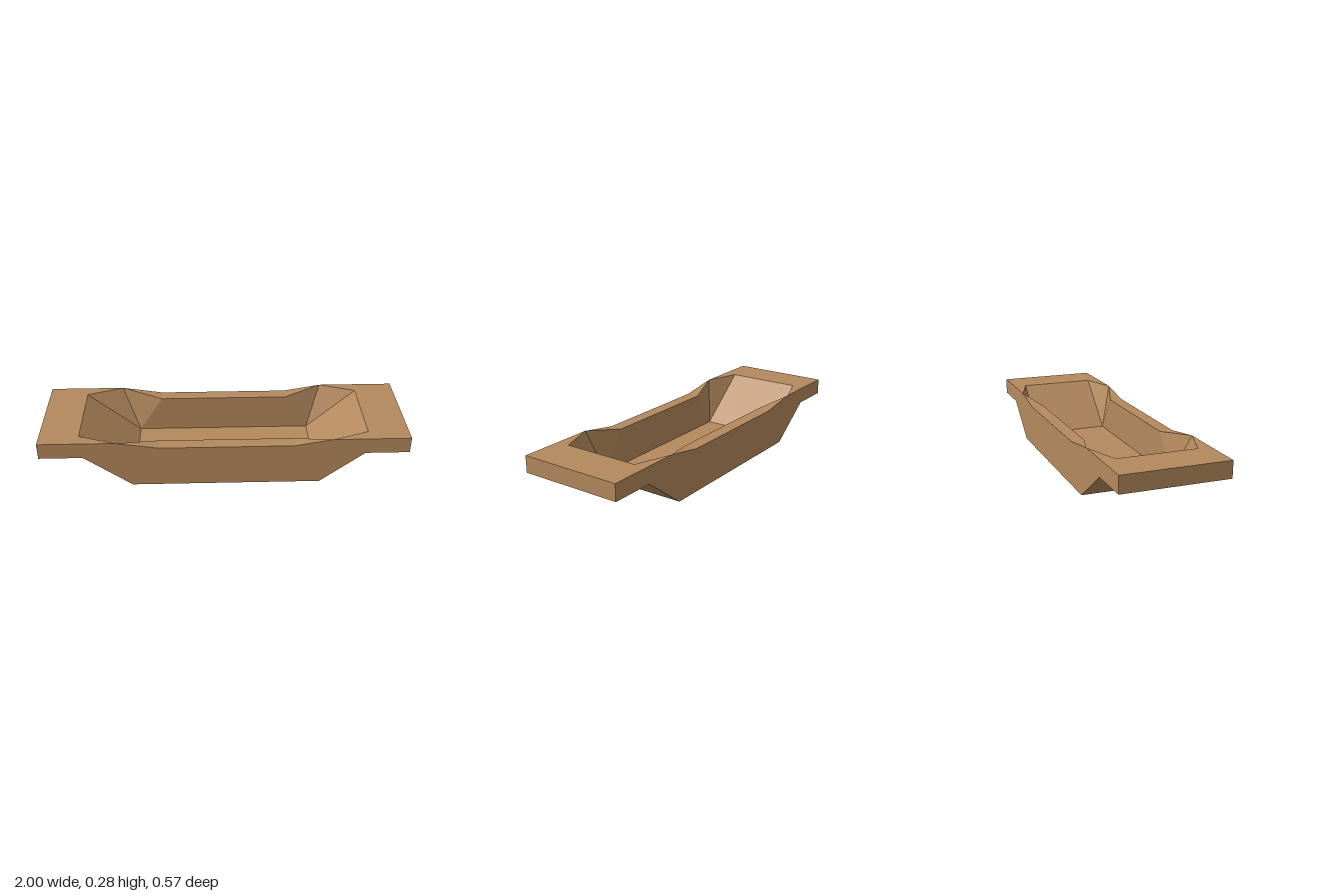
import * as THREE from 'three';

// Heights: deck top, lowered rim, overhang underside, basin floor
const T = 0.276, R = 0.24, S = 0.185, F = 0.032;
// Half depths: outer wall, basin opening
const W = 0.287, V = 0.215;

// x distances for each end: rim dip, rim peak, basin corner, basin floor, keel, overhang
const ends = [
  { side: 1, r: 0.37, p: 0.578, c: 0.778, f: 0.505, k: 0.52, s: 0.76 },
  { side: -1, r: 0.355, p: 0.585, c: 0.785, f: 0.49, k: 0.507, s: 0.763 },
];

// Faces of one quarter (+x, +z), as corner loops fanned from the first corner
const parts = {
  hull({ r, p, k, s }) {
    const faces = [
      [[0, 0, W], [k, 0, W], [s, S, W], [p, T, W], [r, R, W], [0, R, W]],
      [[s, S, W], [1, S, W], [1, T, W], [p, T, W]],
    ];
    // Underside and end, swept across the depth
    const line = [[0, 0], [k, 0], [s, S], [1, S], [1, T]];
    for (let i = 0; i < line.length - 1; i++) {
      const a = line[i], b = line[i + 1];
      faces.push([[...a, 0], [...b, 0], [...b, W], [...a, W]]);
    }
    return faces;
  },
  deckAndRim: ({ r, p, c }) => [
    [[c, T, V], [p, T, W], [1, T, W], [1, T, 0], [c, T, 0]],
    [[r, R, V], [r, R, W], [p, T, W]],
    [[0, R, V], [0, R, W], [r, R, W], [r, R, V]],
  ],
  basin: ({ r, p, c, f }) => [
    [[0, F, 0], [0, F, V], [f, F, V], [f, F, 0]], // floor
    [[f, F, 0], [f, F, V], [c, T, V], [c, T, 0]], // end ramp
    [[f, F, V], [p, T, W], [c, T, V]],            // flared corner
    [[f, F, V], [r, R, V], [p, T, W]],
    [[0, F, V], [0, R, V], [r, R, V], [f, F, V]], // long wall
  ],
};

// Mirrors the quarter to all four corners, flipping the corner order as needed
function buildPart(quarter) {
  const pos = [];
  for (const end of ends) for (const sz of [1, -1]) {
    for (const face of quarter(end)) {
      const pts = face.map(([x, y, z]) => [x * end.side, y, z * sz]);
      if (end.side * sz < 0) pts.reverse().unshift(pts.pop());
      for (let i = 1; i < pts.length - 1; i++) pos.push(...pts[0], ...pts[i], ...pts[i + 1]);
    }
  }
  const geometry = new THREE.BufferGeometry();
  geometry.setAttribute('position', new THREE.Float32BufferAttribute(pos, 3));
  geometry.computeVertexNormals();
  return geometry;
}

export function createModel() {
  const group = new THREE.Group();
  group.name = 'trough';
  const wood = new THREE.MeshStandardMaterial({ color: 0xb3895d });
  wood.name = 'tan wood';
  for (const [name, quarter] of Object.entries(parts)) {
    const mesh = new THREE.Mesh(buildPart(quarter), wood);
    mesh.name = name;
    group.add(mesh);
  }
  return group;
}
